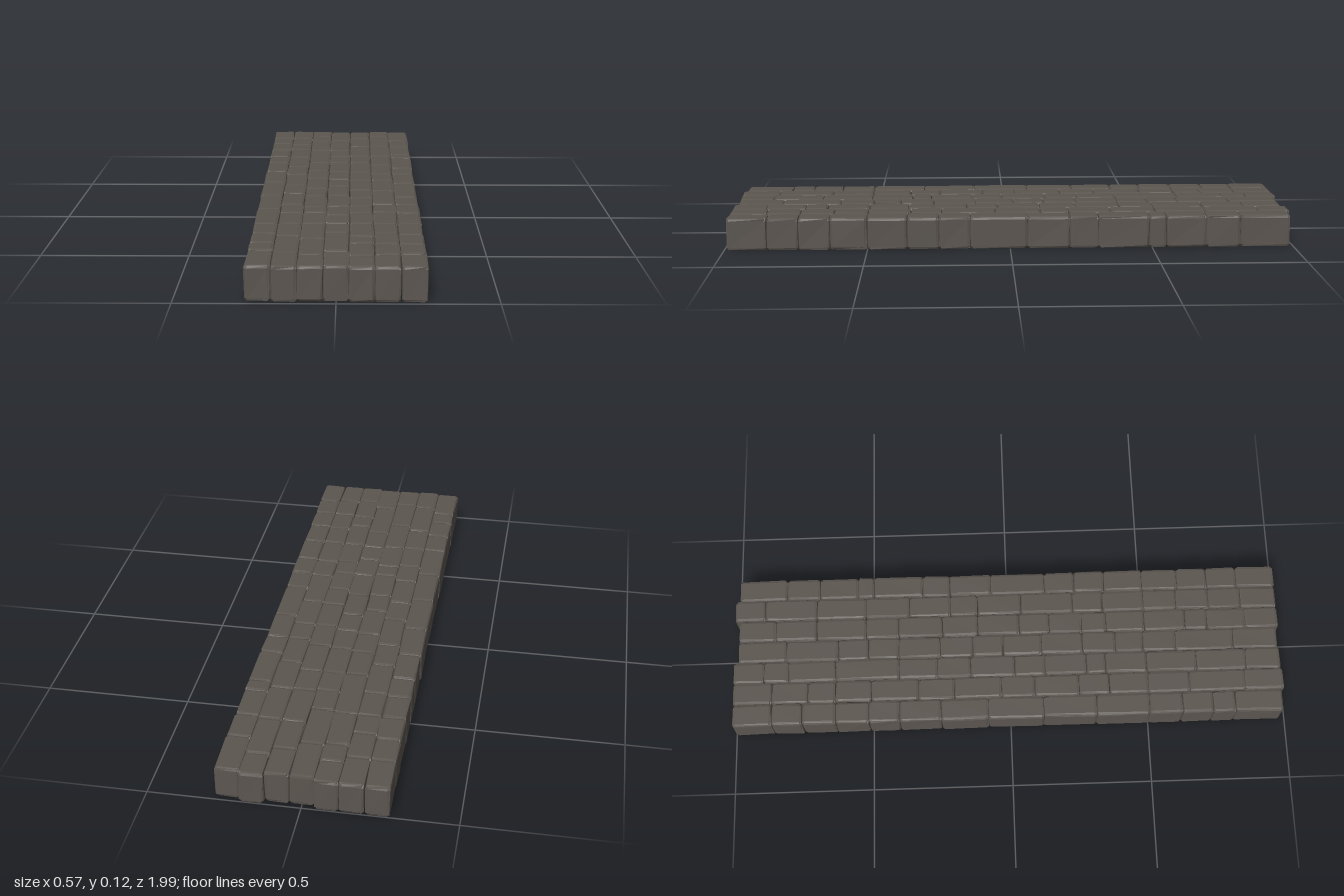
import * as THREE from 'three';

const HEIGHT = 0.115, PITCH = 0.08, CHAMFER = 0.007;

// Joints between stones along z, one row per column from -x to +x
const joints = [
  [-1, -0.86, -0.75, -0.63, -0.51, -0.4, -0.25, -0.08, 0.12, 0.31, 0.5, 0.62, 0.73, 0.81, 0.98],
  [-1, -0.86, -0.73, -0.63, -0.5, -0.33, -0.2, -0.03, 0.09, 0.25, 0.36, 0.5, 0.65, 0.85, 0.99],
  [-1, -0.89, -0.8, -0.63, -0.4, -0.26, -0.14, 0.02, 0.13, 0.28, 0.35, 0.5, 0.68, 0.86, 0.985],
  [-0.985, -0.81, -0.62, -0.51, -0.4, -0.25, -0.13, -0.02, 0.12, 0.27, 0.39, 0.49, 0.61, 0.82, 0.98],
  [-0.985, -0.85, -0.7, -0.52, -0.4, -0.24, -0.11, 0.04, 0.15, 0.27, 0.36, 0.5, 0.65, 0.73, 0.87, 0.99],
  [-1, -0.89, -0.7, -0.52, -0.36, -0.21, -0.11, 0.05, 0.24, 0.35, 0.5, 0.62, 0.74, 0.86, 0.99],
  [-0.985, -0.81, -0.69, -0.55, -0.49, -0.31, -0.21, -0.06, 0.14, 0.25, 0.36, 0.5, 0.63, 0.74, 0.85, 0.99],
];

let seed = 17;
function jitter(amount) {
  seed = (seed * 16807) % 2147483647;
  return (seed / 2147483647 * 2 - 1) * amount;
}

// A block with chamfered edges, knocked-in corners and slightly uneven faces
function stoneGeometry(width, length) {
  const box = new THREE.BoxGeometry(2, 2, 2, 3, 3, 3);
  const geometry = box.toNonIndexed();
  const pos = geometry.attributes.position;
  const half = [width / 2, HEIGHT / 2, length / 2];
  const moved = new Map();
  for (let i = 0; i < pos.count; i++) {
    const unit = [pos.getX(i), pos.getY(i), pos.getZ(i)];
    const key = unit.map((v) => Math.round(v * 3)).join();
    if (!moved.has(key)) {
      const outer = unit.filter((v) => Math.abs(v) > 0.9).length;
      // Outermost lines are pulled in; inner lines sit just inside the edge
      const pull = [0, 0, CHAMFER * 0.35, CHAMFER * 0.75][outer];
      const point = unit.map((v, axis) => {
        const reach = Math.abs(v) > 0.9 ? half[axis] - pull : half[axis] - CHAMFER * 1.4;
        return Math.sign(v) * reach + jitter(axis === 1 ? 0.0007 : 0.0018);
      });
      point[1] = THREE.MathUtils.clamp(point[1], -half[1], half[1]);
      moved.set(key, point);
    }
    pos.setXYZ(i, ...moved.get(key));
  }
  geometry.computeVertexNormals();
  return geometry;
}

export function createModel() {
  const model = new THREE.Group();
  model.name = 'cobblestonePath';
  const material = new THREE.MeshStandardMaterial({ color: 0x5c5650, flatShading: true });

  // Seven columns of stones laid side by side
  joints.forEach((column, c) => {
    const row = new THREE.Group();
    row.name = 'stoneColumn' + (c + 1);
    row.position.x = (c - 3) * PITCH;
    for (let i = 0; i < column.length - 1; i++) {
      const length = column[i + 1] - column[i];
      const stone = new THREE.Mesh(stoneGeometry(PITCH + 0.001, length + 0.001), material);
      stone.name = 'stone';
      stone.position.set(jitter(0.0012), HEIGHT / 2, (column[i] + column[i + 1]) / 2);
      stone.rotation.y = jitter(0.012);
      row.add(stone);
    }
    model.add(row);
  });
  return model;
}
